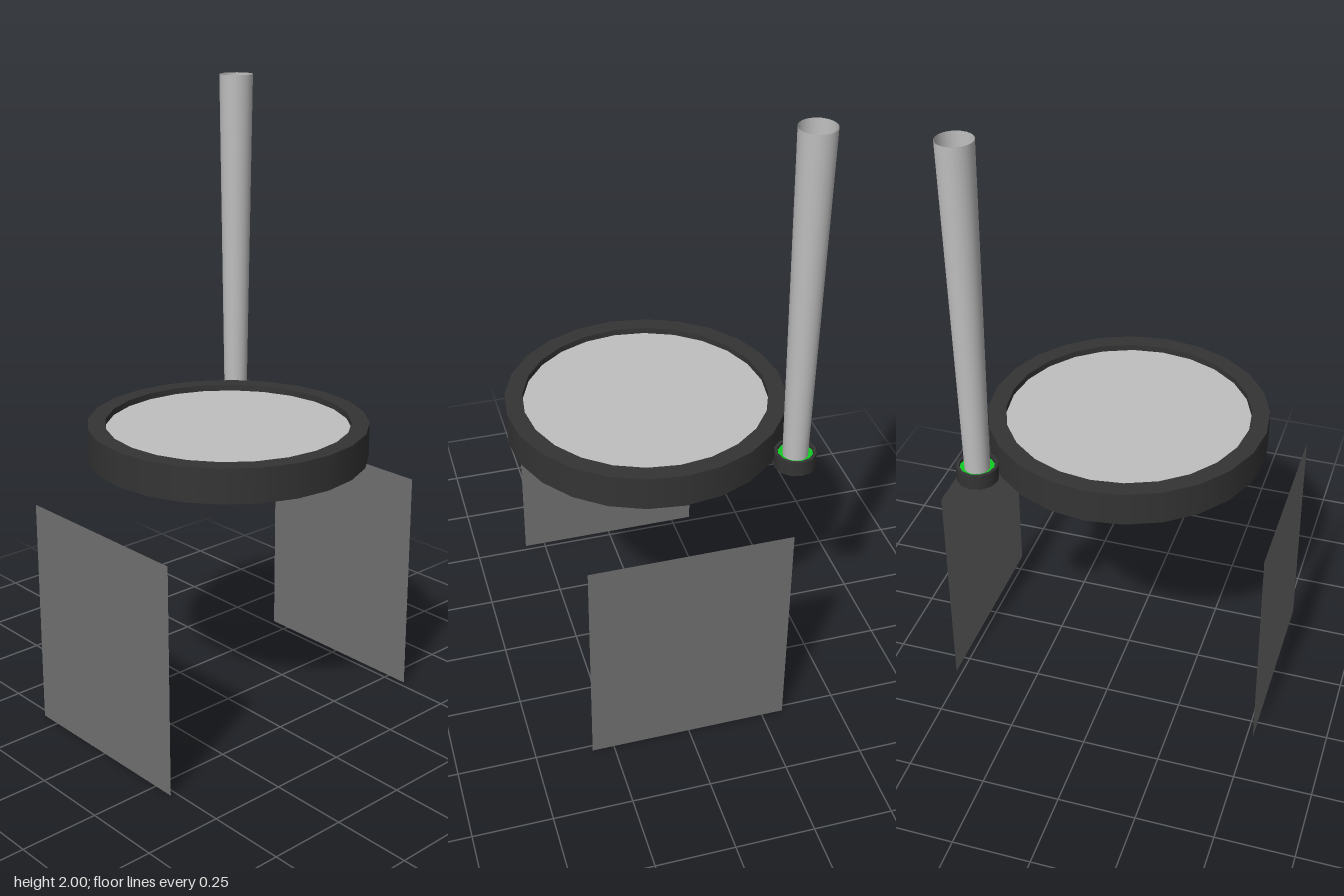
import * as THREE from 'three';

const mat = (name, color, side = THREE.FrontSide) => {
  const m = new THREE.MeshStandardMaterial({ color, side });
  m.name = name;
  return m;
};

export function createModel() {
  const dark = mat('charcoal', 0x343434, THREE.DoubleSide);
  const pale = mat('pale grey', 0xbfbfbf, THREE.DoubleSide);
  const grey = mat('mid grey', 0x707070, THREE.DoubleSide);
  const green = mat('bright green', 0x10cc22);

  const model = new THREE.Group();
  model.name = 'model';

  const add = (parent, name, geometry, material, y = 0) => {
    const mesh = new THREE.Mesh(geometry, material);
    mesh.name = name;
    mesh.position.y = y;
    parent.add(mesh);
    return mesh;
  };

  // Shallow round dish: wall, floor, flat rim and a recessed coloured disc
  const dish = (name, rOut, rIn, y0, y1, recess, sides, fill) => {
    const g = new THREE.Group();
    g.name = name;
    const flat = geo => geo.rotateX(-Math.PI / 2);
    add(g, name + 'Wall', new THREE.CylinderGeometry(rOut, rOut, y1 - y0, sides, 1, true), dark, (y0 + y1) / 2);
    add(g, name + 'Floor', new THREE.CircleGeometry(rOut, sides).rotateX(Math.PI / 2), dark, y0);
    add(g, name + 'Rim', flat(new THREE.RingGeometry(rIn, rOut, sides)), dark, y1);
    add(g, name + 'Lip', new THREE.CylinderGeometry(rIn, rIn, recess, sides, 1, true), dark, y1 - recess / 2);
    add(g, name + 'Disc', flat(new THREE.CircleGeometry(rIn, sides)), fill, y1 - recess);
    model.add(g);
    return g;
  };

  // Round tray
  dish('tray', 0.443, 0.387, 0.87, 0.98, 0.02, 24, pale);

  // Small cup with a flared open tube standing in it
  const cup = dish('cup', 0.065, 0.055, 0.895, 0.945, 0.01, 12, green);
  cup.position.set(0.367, 0, -0.367);
  add(cup, 'tube', new THREE.CylinderGeometry(0.055, 0.039, 1.065, 24, 1, true), pale, 1.4675);

  // Upright side panels
  for (const s of [1, -1]) {
    const panel = add(model, s > 0 ? 'leftPanel' : 'rightPanel',
      new THREE.PlaneGeometry(0.64, 0.74).rotateY(s * Math.PI / 2), grey, 0.37);
    panel.position.x = s * 0.52;
  }
  return model;
}
